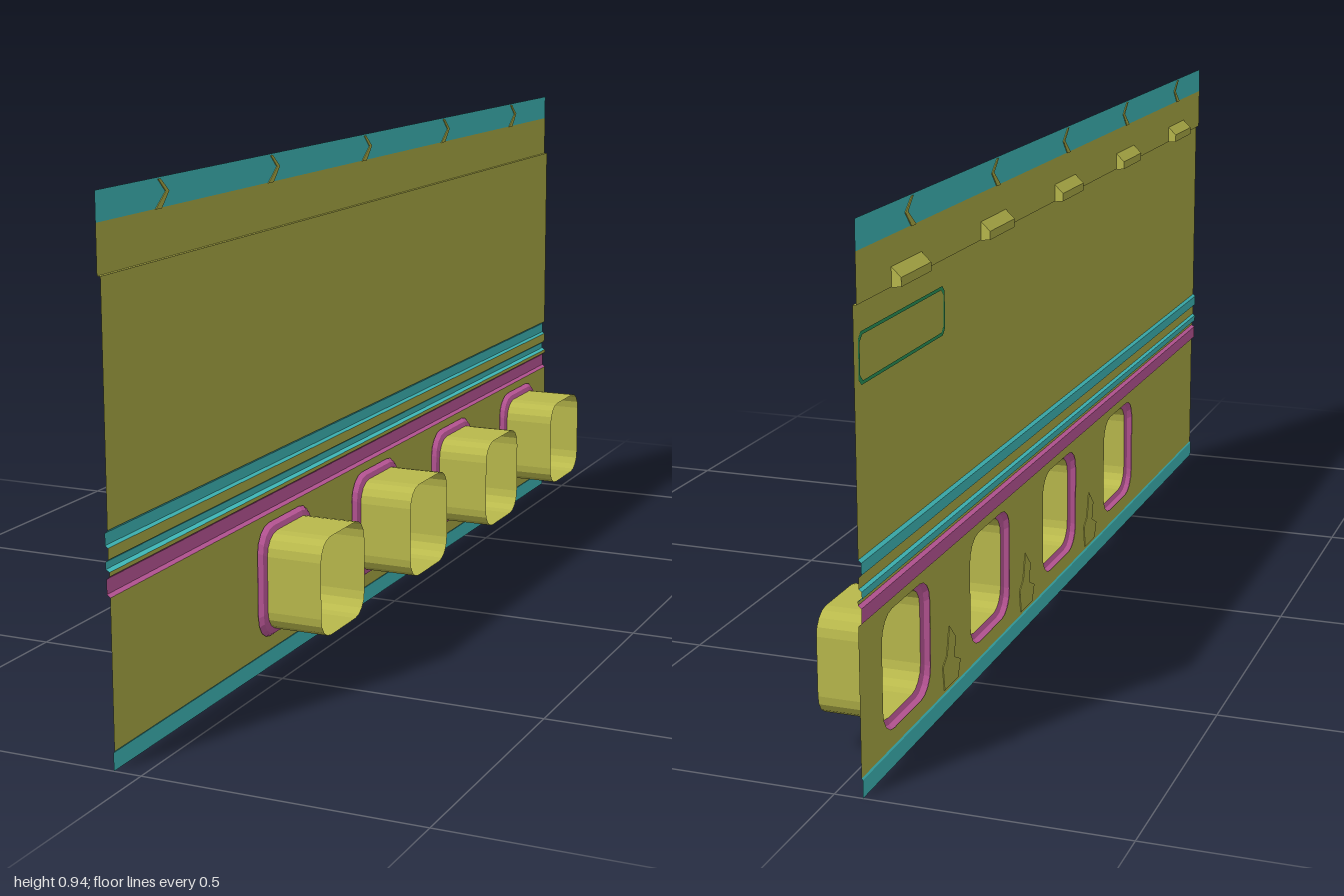
import * as THREE from 'three';

const OLIVE = 0xb9b94c, CYAN = 0x45c8c8, PINK = 0xcc5fa5, GREEN = 0x2fa060;
const WINDOW_Z = [0.395, -0.005, -0.405, -0.805];
const WINDOW_Y = 0.168;

function paint(color) {
  return new THREE.MeshStandardMaterial({ color, side: THREE.DoubleSide, flatShading: true });
}

// Rounded square outline as [z, y] pairs around the origin
function roundedSquare(half, radius, segments = 4) {
  const points = [];
  for (let c = 0; c < 4; c++) {
    const mid = Math.PI / 4 + c * Math.PI / 2;
    const cz = Math.sign(Math.cos(mid)) * (half - radius);
    const cy = Math.sign(Math.sin(mid)) * (half - radius);
    for (let i = 0; i <= segments; i++) {
      const a = (c + i / segments) * Math.PI / 2;
      points.push(new THREE.Vector2(cz + radius * Math.cos(a), cy + radius * Math.sin(a)));
    }
  }
  return points;
}

// Joins rings or rows of equal length into a sheet
function loft(rows, closed) {
  const n = rows[0].length, pos = [], index = [];
  rows.forEach(row => row.forEach(p => pos.push(...p)));
  for (let r = 0; r < rows.length - 1; r++) {
    for (let i = 0; i < (closed ? n : n - 1); i++) {
      const a = r * n + i, b = r * n + (i + 1) % n;
      index.push(a, b, b + n, a, b + n, a + n);
    }
  }
  const g = new THREE.BufferGeometry();
  g.setAttribute('position', new THREE.Float32BufferAttribute(pos, 3));
  g.setIndex(index);
  g.computeVertexNormals();
  return g;
}

// Turns a drawing in (z, y) into a sheet or thin plate facing -x
function upright(geometry, x) {
  return geometry.rotateY(-Math.PI / 2).translate(x, 0, 0);
}

export function createModel() {
  const group = new THREE.Group();
  const add = (name, geometry, color, z = 0, y = 0) => {
    const mesh = new THREE.Mesh(geometry, paint(color));
    mesh.name = name;
    mesh.position.set(0, y, z);
    group.add(mesh);
  };

  // Long wall strips: profiles of [x, y] running the whole length
  const strips = [
    ['bottomTrim', CYAN, [[-0.05, 0], [-0.05, 0.031], [-0.048, 0.034]]],
    ['pinkRail', PINK, [[-0.048, 0.29], [-0.054, 0.295], [-0.054, 0.32], [-0.048, 0.325]]],
    ['railGap', OLIVE, [[-0.048, 0.325], [-0.048, 0.332]]],
    ['lowerStripe', CYAN, [[-0.048, 0.332], [-0.055, 0.336], [-0.055, 0.348], [-0.05, 0.352]]],
    ['stripeGap', OLIVE, [[-0.05, 0.352], [-0.05, 0.371]]],
    ['upperStripe', CYAN, [[-0.05, 0.371], [-0.055, 0.375], [-0.055, 0.395], [-0.05, 0.4]]],
    ['mainPanel', OLIVE, [[-0.05, 0.4], [-0.05, 0.803], [-0.056, 0.803]]],
    ['upperPanel', OLIVE, [[-0.056, 0.803], [-0.056, 0.885]]],
    ['topTrim', CYAN, [[-0.056, 0.885], [-0.056, 0.935]]],
  ];
  for (const [name, color, profile] of strips) {
    const rows = [1, -1].map(z => profile.map(([x, y]) => [x, y, z]));
    add(name, loft(rows, false), color);
  }

  // Window panel with its openings
  const panel = new THREE.Shape([[-1, 0.034], [1, 0.034], [1, 0.29], [-1, 0.29]]
    .map(p => new THREE.Vector2(...p)));
  for (const z of WINDOW_Z) {
    const outline = roundedSquare(0.104, 0.045).map(p => new THREE.Vector2(p.x + z, p.y + WINDOW_Y));
    panel.holes.push(new THREE.Path(outline.reverse()));
  }
  add('windowPanel', upright(new THREE.ShapeGeometry(panel), -0.048), OLIVE);

  // Flared window frames and the ducts behind them
  const ring = (half, radius, x) => roundedSquare(half, radius).map(p => [x, p.y, p.x]);
  for (const z of WINDOW_Z) {
    const frame = [ring(0.104, 0.045, -0.048), ring(0.107, 0.046, -0.046),
      ring(0.101, 0.044, -0.038), ring(0.092, 0.04, -0.034)];
    add('windowFrame', loft(frame, true), PINK, z, WINDOW_Y);
    const duct = [ring(0.092, 0.04, -0.034), ring(0.092, 0.04, 0.0725)];
    add('windowDuct', loft(duct, true), OLIVE, z, WINDOW_Y);
  }

  // Wedge-shaped lamps under the upper panel
  const wedge = new THREE.Shape([[-0.056, 0.802], [-0.056, 0.835], [-0.0725, 0.819], [-0.0725, 0.804]]
    .map(p => new THREE.Vector2(...p)));
  for (let i = 0; i < 5; i++) {
    const lamp = new THREE.ExtrudeGeometry(wedge, { depth: 0.126, bevelEnabled: false });
    add('lamp', lamp.translate(0, 0, -0.063), OLIVE, 0.8 - 0.4 * i);
  }

  // Buckled joints in the top trim
  const buckle = new THREE.Shape([[0.03, 0.884], [0.01, 0.884], [-0.015, 0.91], [0.012, 0.932],
    [0.02, 0.932], [-0.004, 0.91]].map(p => new THREE.Vector2(...p)));
  for (let i = 0; i < 5; i++) {
    const plate = new THREE.ExtrudeGeometry(buckle, { depth: 0.003, bevelEnabled: false });
    add('trimBuckle', upright(plate, -0.0545), OLIVE, 0.79 - 0.395 * i);
  }

  // Torn plates beside the windows
  const tear = new THREE.Shape([[-0.035, 0.04], [0.03, 0.04], [0.042, 0.07], [0.012, 0.085],
    [0.02, 0.12], [-0.01, 0.15], [-0.022, 0.1], [-0.042, 0.085]].map(p => new THREE.Vector2(...p)));
  for (const z of [0.195, -0.205, -0.605]) {
    const plate = new THREE.ExtrudeGeometry(tear, { depth: 0.003, bevelEnabled: false });
    add('tornPlate', upright(plate, -0.0465), OLIVE, z);
  }

  // Blank sign border on the back of the wall
  const border = (w, h) => [[-w, -h + 0.01], [-w + 0.01, -h], [w - 0.01, -h], [w, -h + 0.01],
    [w, h - 0.01], [w - 0.01, h], [-w + 0.01, h], [-w, h - 0.01]].map(p => new THREE.Vector2(...p));
  const sign = new THREE.Shape(border(0.18, 0.042));
  sign.holes.push(new THREE.Path(border(0.174, 0.036).reverse()));
  add('signBorder', upright(new THREE.ShapeGeometry(sign), -0.051), GREEN, -0.805, 0.715);

  return group;
}
